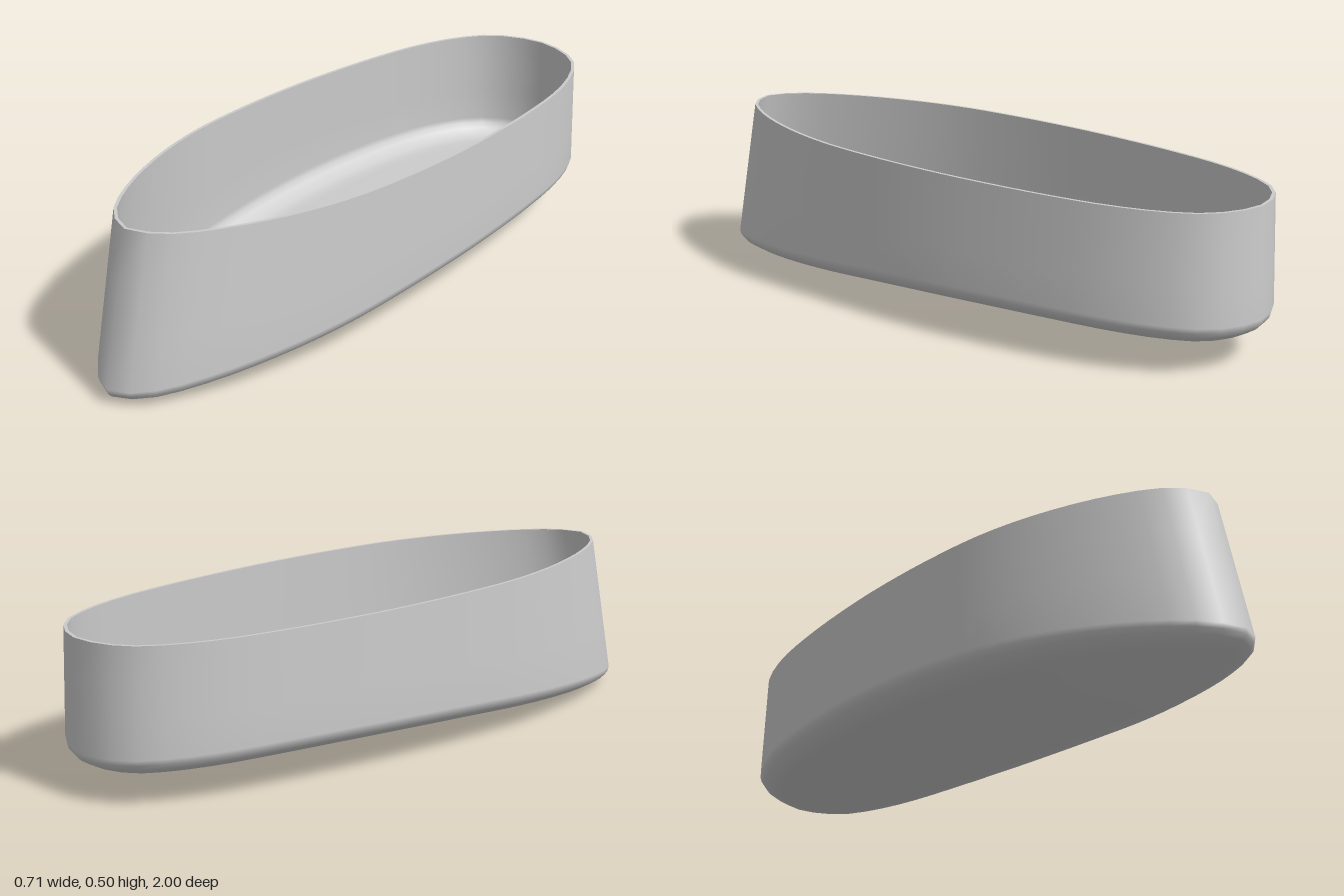
import * as THREE from 'three';

const SEGMENTS = 64;
const WALL = 0.01;

// Half outline of the hull at its widest level, from back to front: [x, z]
const half = [
  [0, -1], [0.1, -0.977], [0.18, -0.925], [0.24, -0.835], [0.293, -0.69], [0.33, -0.48],
  [0.352, -0.24], [0.357, -0.08], [0.352, 0.13], [0.33, 0.37], [0.275, 0.6], [0.19, 0.81], [0.1, 0.945], [0, 1],
];
const mirrored = half.slice(1, -1).reverse().map(([x, z]) => [-x, z]);
const curve = new THREE.CatmullRomCurve3(
  [...half, ...mirrored].map(([x, z]) => new THREE.Vector3(x, 0, z)), true, 'centripetal');
const outline = curve.getSpacedPoints(SEGMENTS).slice(0, SEGMENTS);

const floorY = (z) => 0.1 - 0.0565 * (z + 0.4) ** 2; // gently arched underside
const rimY = (z) => 0.481 + 0.0233 * z; // rim rises towards the front

// Outline moved inwards along its normals, then scaled about the centre
function inset(distance, scale = 1) {
  return outline.map((p, i) => {
    const a = outline[(i + SEGMENTS - 1) % SEGMENTS];
    const b = outline[(i + 1) % SEGMENTS];
    const t = b.clone().sub(a).normalize();
    return new THREE.Vector3((p.x - t.z * distance) * scale, 0, (p.z + t.x * distance) * scale);
  });
}

function floorRing(distance, lift, scale = 1) {
  const ring = inset(distance, scale);
  ring.forEach((p) => { p.y = floorY(p.z) + lift; });
  return ring;
}

// Rim outline, drawn back at the front so that the bow leans
function rimRing(distance) {
  const ring = inset(distance);
  ring.forEach((p) => {
    p.x *= 0.982;
    p.z *= p.z > 0 ? 0.9 : 0.99;
    p.y = rimY(p.z);
  });
  return ring;
}

// Floor, rounded lower edge and wall, as rings from the middle outwards
function shellRings(d) {
  const rings = [0.02, 0.25, 0.5, 0.75, 0.9].map((s) => floorRing(0.07 + d, d, s));
  rings.push(floorRing(0.07 + d, d), floorRing(0.045 + d, 0.006 + d));
  rings.push(floorRing(0.016 + d, 0.026 + d), floorRing(0.004 + d, 0.042 + d));
  const low = floorRing(d, 0.058 + d);
  const top = rimRing(d);
  for (const t of [0, 0.33, 0.67, 1]) rings.push(low.map((p, i) => p.clone().lerp(top[i], t)));
  return rings;
}

// Skin over a list of rings; flip turns the faces the other way
function skin(rings, flip, closeCentre) {
  const positions = rings.flat().flatMap((p) => [p.x, p.y, p.z]);
  const index = [];
  const tri = (a, b, c) => (flip ? index.push(a, c, b) : index.push(a, b, c));
  for (let r = 0; r < rings.length - 1; r++) {
    for (let i = 0; i < SEGMENTS; i++) {
      const j = (i + 1) % SEGMENTS;
      const a = r * SEGMENTS + i, b = r * SEGMENTS + j;
      tri(a, a + SEGMENTS, b);
      tri(b, a + SEGMENTS, b + SEGMENTS);
    }
  }
  if (closeCentre) {
    const c = positions.length / 3;
    positions.push(0, rings[0][0].y, 0);
    for (let i = 0; i < SEGMENTS; i++) tri(c, i, (i + 1) % SEGMENTS);
  }
  const geometry = new THREE.BufferGeometry();
  geometry.setAttribute('position', new THREE.Float32BufferAttribute(positions, 3));
  geometry.setIndex(index);
  geometry.computeVertexNormals();
  return geometry;
}

export function createModel() {
  const group = new THREE.Group();
  group.name = 'tub';
  const material = new THREE.MeshStandardMaterial({ color: 0xcccccc, side: THREE.DoubleSide });
  const add = (name, geometry) => {
    const mesh = new THREE.Mesh(geometry, material);
    mesh.name = name;
    group.add(mesh);
  };

  // The outline runs back, left, front, right, so unflipped skins face up and inwards
  add('outerHull', skin(shellRings(0), true, true));
  add('innerLining', skin(shellRings(WALL), false, true));
  add('rim', skin([rimRing(WALL), rimRing(0)], false, false));
  return group;
}
